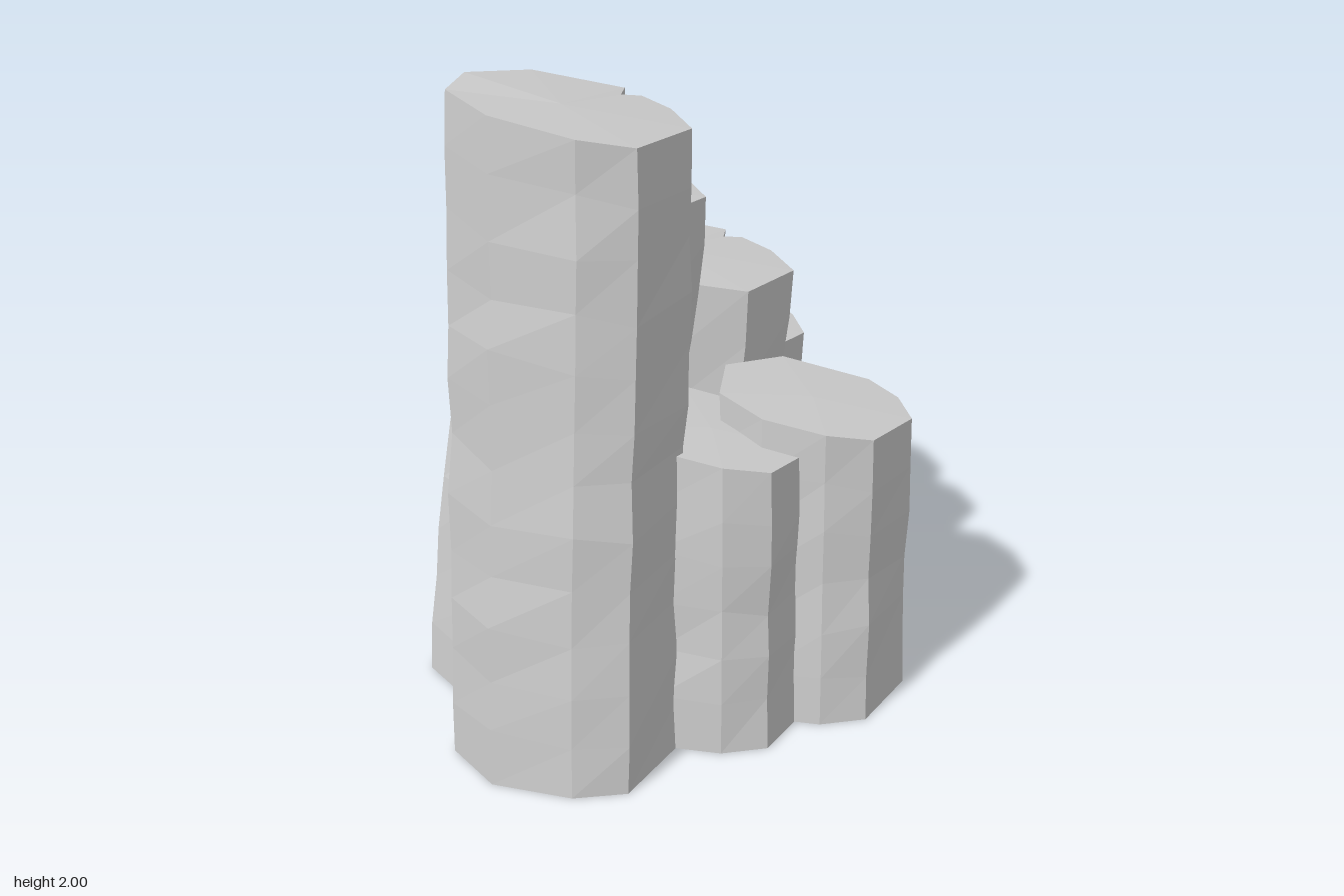
import * as THREE from 'three';

// Two [x, z] cross-sections: one cracked at the rear, one whole
const cracked = [[0.14, -0.28], [0.26, -0.21], [0.29, 0.06], [0.18, 0.17], [-0.04, 0.25], [-0.23, 0.185],
  [-0.28, 0.05], [-0.22, -0.15], [-0.02, -0.29], [0.01, -0.235], [0.04, -0.285]];
const whole = [[0.01, -0.27], [0.13, -0.24], [0.235, -0.15], [0.26, 0.08], [0.17, 0.18], [0.01, 0.255],
  [-0.16, 0.22], [-0.27, 0.04], [-0.22, -0.17]];
const crackPoint = 9;

// Top centre [x, z], centre height, relative width and shift of the foot
const columns = [
  { name: 'tallFrontColumn', outline: cracked, c: [0.03, 0.58], h: 1.95, width: 1, foot: [-0.01, 0.05] },
  { name: 'secondColumn', outline: cracked, c: [-0.22, 0.18], h: 1.54, width: 1, foot: [-0.09, 0.165] },
  { name: 'thirdColumn', outline: cracked, c: [-0.23, -0.235], h: 1.155, width: 1.08, foot: [-0.06, 0.13] },
  { name: 'backColumn', outline: whole, c: [-0.36, -0.61], h: 0.755, width: 1, foot: [0, 0] },
  { name: 'rightColumn', outline: whole, c: [0.37, -0.085], h: 0.925, width: 1, foot: [0, 0] },
  { name: 'lowRightColumn', outline: whole, c: [0.23, 0.2], h: 0.905, width: 1, foot: [0, 0] },
];

// Small repeatable random numbers for the chipped rock faces
function seeded(seed) {
  let s = seed;
  return () => {
    s = (s * 16807) % 2147483647;
    return s / 2147483647 - 0.5;
  };
}

function columnGeometry({ outline, c, h, width, foot }, seed) {
  const rnd = seeded(seed);
  const n = outline.length;
  const rows = Math.max(5, Math.round(h / 0.16));
  // Tops slope down to the back and to the right
  const topY = (x, z) => Math.min(2, h - 0.11 * x + 0.19 * z);
  const pos = [];
  for (let r = 0; r <= rows; r++) {
    const t = r / rows;
    const lean = 1 - THREE.MathUtils.smoothstep(t, 0, 1);
    const rough = r === 0 || r === rows ? 0 : 1;
    outline.forEach(([x, z], i) => {
      // Radial chipping, deeper along the rear crack
      let push = rnd() * 0.016;
      if (outline === cracked && i === crackPoint) push += rnd() * 0.03 - 0.025;
      const scale = 1 + rough * push / Math.hypot(x, z);
      const level = t + rough * rnd() * 0.22 / rows;
      pos.push(c[0] + x * width * scale + foot[0] * lean, level * topY(x, z), c[1] + z * scale + foot[1] * lean);
    });
  }
  // Cap centres
  const low = pos.length / 3;
  pos.push(c[0] + foot[0], 0, c[1] + foot[1], c[0], h + 0.006, c[1]);
  const index = [];
  for (let i = 0; i < n; i++) {
    const j = (i + 1) % n;
    for (let r = 0; r < rows; r++) {
      const a = r * n + i, b = r * n + j;
      index.push(a, a + n, b, b, a + n, b + n);
    }
    index.push(low, i, j, low + 1, rows * n + j, rows * n + i);
  }
  const indexed = new THREE.BufferGeometry();
  indexed.setAttribute('position', new THREE.Float32BufferAttribute(pos, 3));
  indexed.setIndex(index);
  // Separate faces give flat facets
  const faceted = indexed.toNonIndexed();
  faceted.computeVertexNormals();
  return faceted;
}

export function createModel() {
  const group = new THREE.Group();
  group.name = 'basaltColumns';
  const stone = new THREE.MeshStandardMaterial({ color: 0xd0d0d0 });
  stone.name = 'greyStone';
  columns.forEach((column, k) => {
    const mesh = new THREE.Mesh(columnGeometry(column, 1234 + k * 7919), stone);
    mesh.name = column.name;
    group.add(mesh);
  });
  return group;
}
